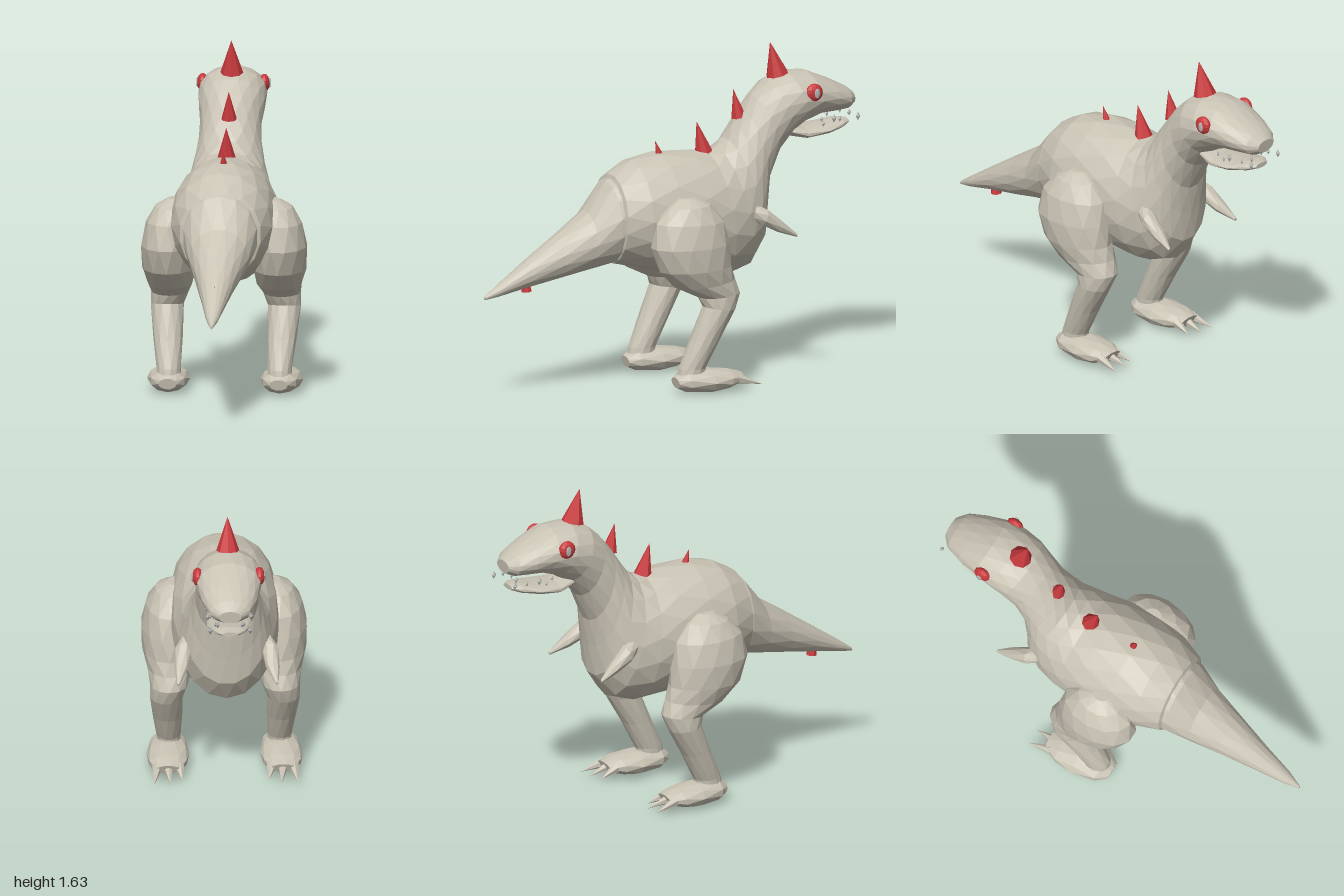
import * as THREE from 'three';

const mat = (name, color) => {
  const m = new THREE.MeshStandardMaterial({ color, flatShading: true });
  m.name = name;
  return m;
};

// Lofted faceted skin. Each section: [x, halfWidth, y1, z1, y2, z2],
// an ellipse spanning from edge point 1 to edge point 2 in the yz plane.
function loft(sections, sides) {
  const pos = [], idx = [], n = sections.length;
  sections.forEach(([x, w, y1, z1, y2, z2], i) => {
    for (let j = 0; j < sides; j++) {
      const a = (j + (i % 2) / 2) / sides * Math.PI * 2;
      const c = Math.cos(a), s = Math.sin(a) / 2;
      pos.push(x + w * c, (y1 + y2) / 2 + (y1 - y2) * s, (z1 + z2) / 2 + (z1 - z2) * s);
    }
  });
  for (let i = 0; i < n - 1; i++) {
    for (let j = 0; j < sides; j++) {
      const k = (j + 1) % sides;
      const a = i * sides + j, b = i * sides + k, c = a + sides, d = b + sides;
      if (i % 2) idx.push(a, c, d, a, d, b);
      else idx.push(a, c, b, b, c, d);
    }
  }
  // end caps
  [0, n - 1].forEach((i) => {
    const [x, , y1, z1, y2, z2] = sections[i];
    const centre = pos.length / 3;
    pos.push(x, (y1 + y2) / 2, (z1 + z2) / 2);
    for (let j = 0; j < sides; j++) {
      const a = i * sides + j, b = i * sides + (j + 1) % sides;
      if (i === 0) idx.push(centre, a, b);
      else idx.push(centre, b, a);
    }
  });
  const g = new THREE.BufferGeometry();
  g.setAttribute('position', new THREE.Float32BufferAttribute(pos, 3));
  g.setIndex(idx);
  const flat = g.toNonIndexed();
  flat.computeVertexNormals();
  return flat;
}

export function createModel() {
  const root = new THREE.Group();
  root.name = 'dinosaur';
  const skin = mat('stone skin', 0xc9c3b4);
  const red = mat('red', 0xc93a3d);
  const grey = mat('tooth grey', 0xb4b6b2);

  const add = (name, geometry, material) => {
    const m = new THREE.Mesh(geometry, material);
    m.name = name;
    root.add(m);
    return m;
  };
  // cone from a base point to a tip point
  const spike = (name, base, tip, r, material, sides = 8) => {
    const b = new THREE.Vector3(...base), d = new THREE.Vector3(...tip).sub(b);
    const m = add(name, new THREE.ConeGeometry(r, d.length(), sides), material);
    m.position.copy(b).addScaledVector(d, 0.5);
    m.quaternion.setFromUnitVectors(new THREE.Vector3(0, 1, 0), d.normalize());
  };

  // torso, neck and head in one skin
  add('body', loft([
    [0, 0.15, 1.0, 0.335, 0.67, 0.335],
    [0, 0.2, 1.07, 0.31, 0.63, 0.32],
    [0, 0.245, 1.13, 0.2, 0.6, 0.2],
    [0, 0.265, 1.155, 0.06, 0.555, 0.04],
    [0, 0.268, 1.15, -0.1, 0.525, -0.12],
    [0, 0.255, 1.135, -0.2, 0.51, -0.28],
    [0, 0.23, 1.15, -0.26, 0.55, -0.41],
    [0, 0.2, 1.19, -0.31, 0.67, -0.49],
    [0, 0.175, 1.25, -0.35, 0.82, -0.505],
    [0, 0.155, 1.32, -0.4, 0.96, -0.52],
    [0, 0.15, 1.39, -0.455, 1.1, -0.58],
    [0, 0.163, 1.455, -0.53, 1.19, -0.65],
    [0, 0.168, 1.49, -0.63, 1.235, -0.72],
    [0, 0.156, 1.485, -0.74, 1.262, -0.8],
    [0, 0.133, 1.435, -0.86, 1.268, -0.88],
    [0, 0.1, 1.39, -0.95, 1.272, -0.955],
    [0, 0.055, 1.355, -0.995, 1.29, -0.99],
  ], 16), skin);

  add('lowerJaw', loft([
    [0, 0.08, 1.23, -0.61, 1.17, -0.64],
    [0, 0.11, 1.21, -0.72, 1.152, -0.72],
    [0, 0.108, 1.218, -0.84, 1.163, -0.83],
    [0, 0.08, 1.23, -0.92, 1.182, -0.92],
    [0, 0.04, 1.225, -0.965, 1.2, -0.965],
  ], 12), skin);

  add('tail', loft([
    [0, 0.006, 0.528, 1.0, 0.512, 1.0],
    [0, 0.032, 0.585, 0.92, 0.522, 0.93],
    [0, 0.065, 0.695, 0.76, 0.55, 0.79],
    [0, 0.105, 0.8, 0.6, 0.582, 0.61],
    [0, 0.145, 0.9, 0.45, 0.61, 0.46],
    [0, 0.182, 1.04, 0.34, 0.63, 0.33],
    [0, 0.185, 1.07, 0.27, 0.64, 0.27],
  ], 14), skin);

  for (const s of [1, -1]) {
    const side = s > 0 ? 'left' : 'right';
    const mirror = (rows) => rows.map(([x, ...rest]) => [x * s, ...rest]);

    // thigh, knee and shin
    add(side + 'Leg', loft(mirror([
      [0.235, 0.04, 0.97, -0.03, 0.97, 0.06],
      [0.25, 0.085, 0.935, -0.1, 0.93, 0.13],
      [0.265, 0.115, 0.85, -0.165, 0.86, 0.195],
      [0.273, 0.132, 0.74, -0.19, 0.74, 0.222],
      [0.27, 0.13, 0.63, -0.2, 0.62, 0.18],
      [0.265, 0.112, 0.56, -0.22, 0.53, 0.09],
      [0.272, 0.092, 0.49, -0.245, 0.475, -0.03],
      [0.285, 0.082, 0.41, -0.215, 0.43, -0.05],
      [0.277, 0.072, 0.27, -0.135, 0.27, 0.015],
      [0.27, 0.06, 0.13, -0.065, 0.13, 0.075],
      [0.27, 0.06, 0.05, -0.05, 0.05, 0.09],
    ]), 12), skin);

    add(side + 'Foot', loft(mirror([
      [0.27, 0.045, 0.09, 0.1, 0.035, 0.09],
      [0.272, 0.085, 0.12, 0.05, 0.012, 0.04],
      [0.275, 0.105, 0.122, -0.07, 0.003, -0.08],
      [0.278, 0.095, 0.11, -0.18, 0.015, -0.16],
      [0.28, 0.06, 0.09, -0.25, 0.035, -0.23],
    ]), 10), skin);

    for (const [bx, tx, tz] of [[0.225, 0.21, -0.3], [0.28, 0.27, -0.335], [0.33, 0.35, -0.335]]) {
      spike(side + 'Claw', [bx * s, 0.065, -0.21], [tx * s, 0.03, tz], 0.026, skin, 6);
    }

    add(side + 'Arm', loft(mirror([
      [0.18, 0.045, 0.89, -0.38, 0.82, -0.345],
      [0.21, 0.043, 0.865, -0.43, 0.785, -0.4],
      [0.222, 0.034, 0.795, -0.51, 0.745, -0.485],
      [0.24, 0.007, 0.73, -0.582, 0.715, -0.578],
    ]), 8), skin);

    // bulging eye with a pale slit
    const eye = add(side + 'Eye', new THREE.SphereGeometry(0.045, 10, 8), red);
    eye.scale.x = 0.6;
    eye.position.set(0.15 * s, 1.4, -0.72);
    const pupil = add(side + 'Pupil', new THREE.SphereGeometry(0.025, 8, 6), grey);
    pupil.scale.set(0.2, 1, 0.6);
    pupil.position.set(0.176 * s, 1.4, -0.725);

    // teeth: x, y, z, half height
    for (const [x, y, z, h] of [[0.097, 1.247, -0.985, 0.022], [0.105, 1.25, -0.85, 0.022],
      [0.11, 1.255, -0.78, 0.015], [0.06, 1.262, -0.955, 0.018], [0.09, 1.225, -0.8, 0.015], [0.07, 1.235, -0.9, 0.015]]) {
      const tooth = add(side + 'Tooth', new THREE.OctahedronGeometry(h), grey);
      tooth.scale.set(0.55, 1, 0.55);
      tooth.position.set(x * s, y, z);
    }
  }

  // row of red spikes from head to tail
  spike('headHorn', [0, 1.475, -0.595], [0, 1.64, -0.555], 0.056, red);
  spike('neckSpike', [0, 1.285, -0.385], [0, 1.425, -0.355], 0.038, red);
  spike('shoulderSpike', [0, 1.125, -0.195], [0, 1.285, -0.155], 0.046, red);
  spike('backSpike', [0, 1.13, 0.045], [0, 1.21, 0.07], 0.022, red);
  spike('tailSpike', [0, 0.533, 0.77], [0, 0.685, 0.785], 0.026, red);
  return root;
}
